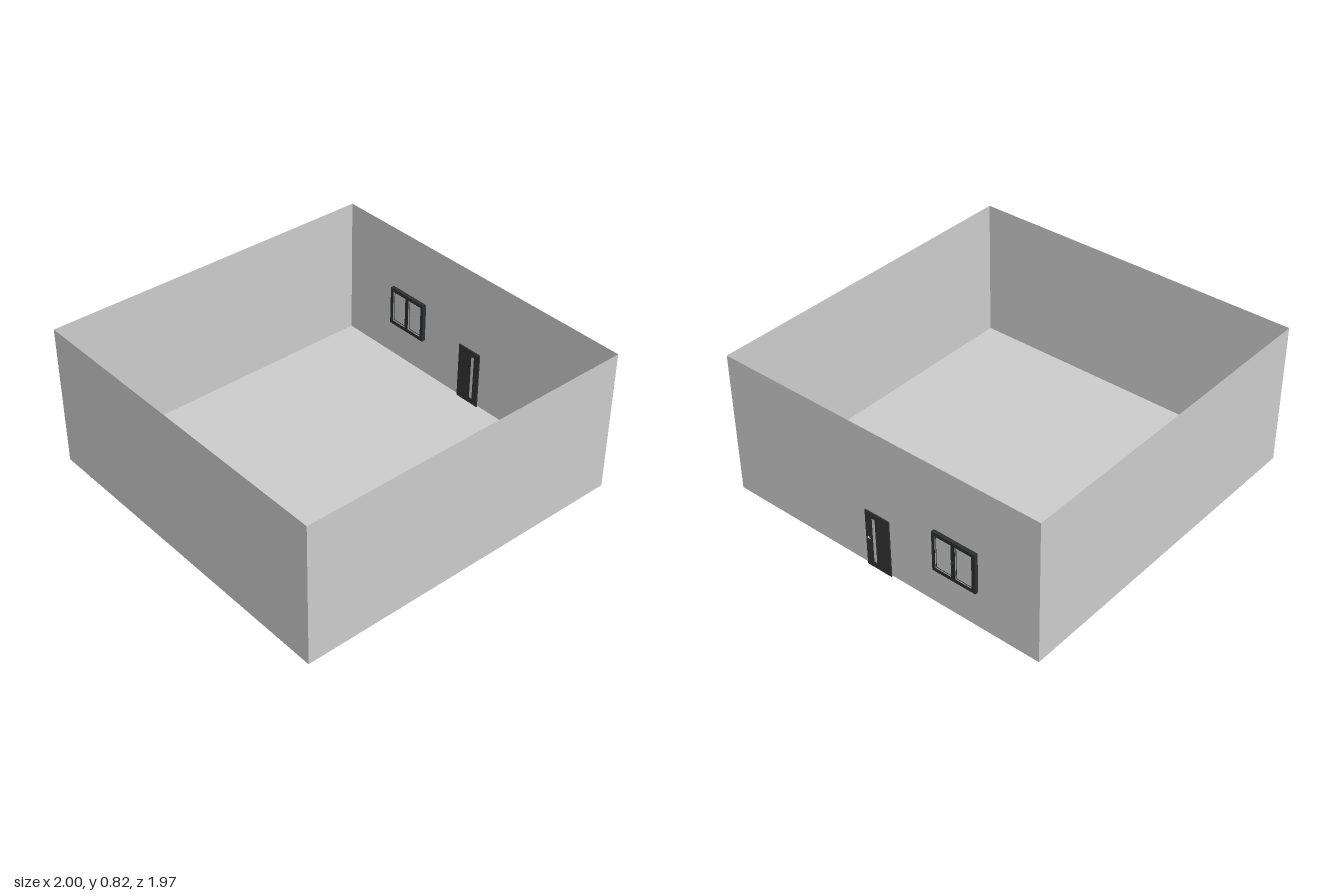
import * as THREE from 'three';

const grey = new THREE.MeshStandardMaterial({ color: 0xcccccc, side: THREE.DoubleSide });
const dark = new THREE.MeshStandardMaterial({ color: 0x2b2e2f });
const doorDark = new THREE.MeshStandardMaterial({ color: 0x333333 });
const glassGrey = new THREE.MeshStandardMaterial({ color: 0xcccccc });

const WALL_X = 0.968;

function add(parent, name, geometry, material, x, y, z) {
  const mesh = new THREE.Mesh(geometry, material);
  mesh.name = name;
  mesh.position.set(x, y, z);
  parent.add(mesh);
  return mesh;
}

// Box given by its limits on each axis
function slab(parent, name, material, [x0, x1], [y0, y1], [z0, z1]) {
  return add(parent, name, new THREE.BoxGeometry(x1 - x0, y1 - y0, z1 - z0), material,
    (x0 + x1) / 2, (y0 + y1) / 2, (z0 + z1) / 2);
}

// Upright panel in the z-y plane with rectangular openings, extruded along x
function panel(parent, name, material, [x0, x1], outer, openings) {
  const trace = (path, [z0, z1, y0, y1]) => {
    path.moveTo(-z0, y0);
    path.lineTo(-z1, y0);
    path.lineTo(-z1, y1);
    path.lineTo(-z0, y1);
    path.closePath();
    return path;
  };
  const shape = trace(new THREE.Shape(), outer);
  for (const o of openings) shape.holes.push(trace(new THREE.Path(), o));
  const geometry = new THREE.ExtrudeGeometry(shape, { depth: x1 - x0, bevelEnabled: false });
  geometry.rotateY(Math.PI / 2);
  return add(parent, name, geometry, material, x0, 0, 0);
}

// Open room: four thin walls and a floor
function createRoom() {
  const geometry = new THREE.BoxGeometry(WALL_X + 1, 0.82, 1.968);
  const index = Array.from(geometry.index.array);
  index.splice(12, 6); // no ceiling
  geometry.setIndex(index);
  geometry.clearGroups();
  const room = new THREE.Mesh(geometry, grey);
  room.name = 'wallsAndFloor';
  room.position.set((WALL_X - 1) / 2, 0.41, 0);
  return room;
}

function createDoor() {
  const door = new THREE.Group();
  door.name = 'door';
  const slot = [0.014, 0.038, 0.03, 0.305];

  // Leaf with a tall glazed slot, and a slightly wider face on each side
  panel(door, 'doorLeaf', doorDark, [0.96, 0.973], [-0.07, 0.07, 0, 0.335], [slot]);
  for (const x of [0.955, 0.973]) {
    panel(door, 'doorFace', doorDark, [x, x + 0.006], [-0.078, 0.078, 0, 0.34], [slot]);
  }
  slab(door, 'doorGlass', glassGrey, [0.962, 0.974], [0.03, 0.305], [0.014, 0.038]);

  // Lever handle
  const stem = add(door, 'doorHandleStem', new THREE.CylinderGeometry(0.003, 0.003, 0.008, 10),
    glassGrey, 0.982, 0.18, 0.06);
  stem.rotation.z = Math.PI / 2;
  slab(door, 'doorHandle', glassGrey, [0.984, 0.987], [0.178, 0.182], [0.044, 0.062]);
  return door;
}

function createWindow() {
  const win = new THREE.Group();
  win.name = 'window';
  const panes = [[-0.602, -0.504, 0.237, 0.428], [-0.478, -0.38, 0.237, 0.428]];

  // Outer frame with centre post
  panel(win, 'windowFrame', dark, [0.945, 0.988], [-0.624, -0.36, 0.215, 0.448], panes);

  for (const [z0, z1, y0, y1] of panes) {
    // Thin sash lip around each pane
    panel(win, 'windowSash', dark, [0.955, 0.982], [z0, z1, y0, y1],
      [[z0 + 0.004, z1 - 0.004, y0 + 0.004, y1 - 0.004]]);
    slab(win, 'windowGlass', glassGrey, [0.962, 0.975], [y0, y1], [z0, z1]);
  }

  // Handle on the centre post
  slab(win, 'windowHandle', dark, [0.988, 1], [0.327, 0.335], [-0.494, -0.488]);
  return win;
}

export function createModel() {
  const model = new THREE.Group();
  model.name = 'room';
  model.add(createRoom(), createDoor(), createWindow());
  return model;
}
